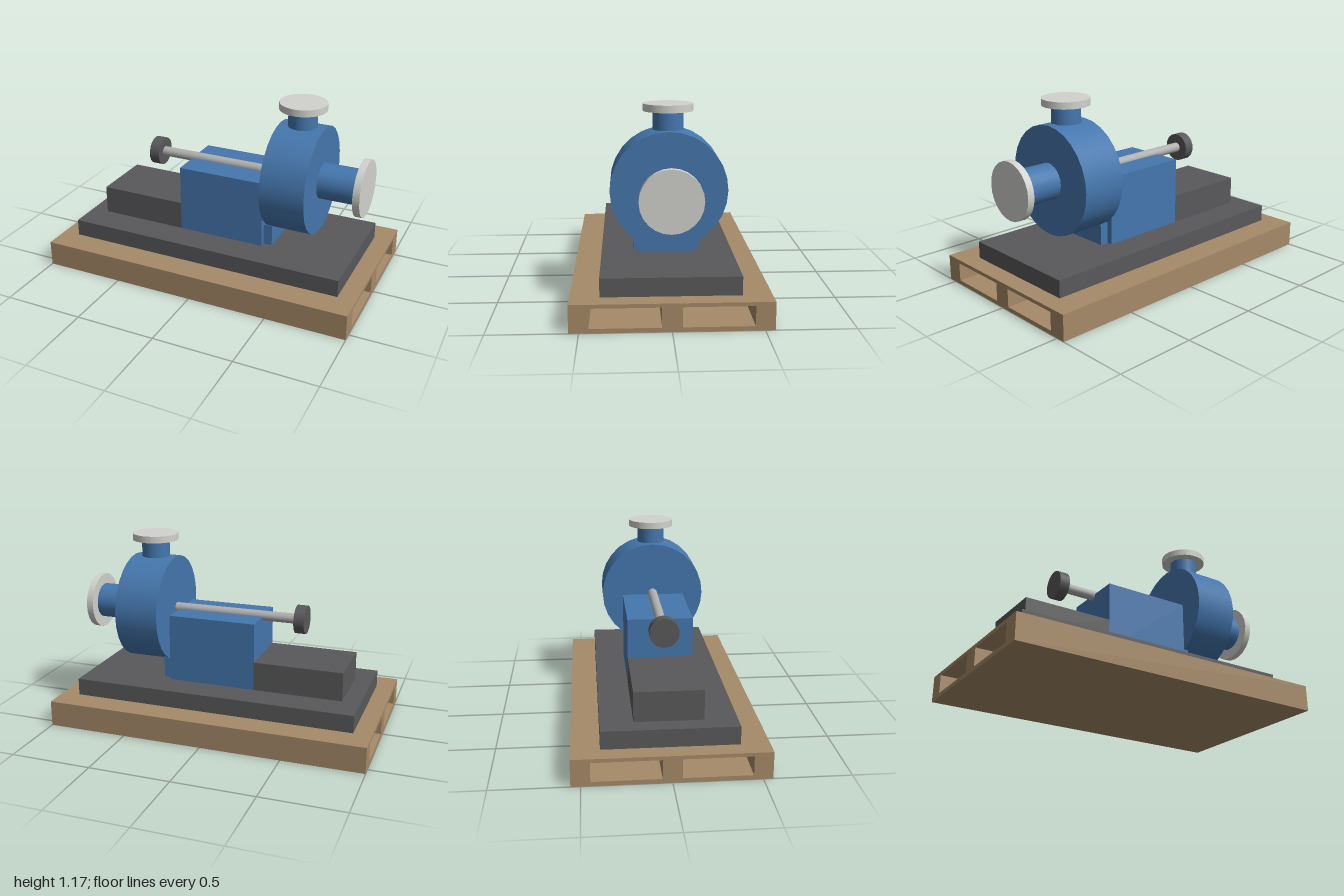
import * as THREE from 'three';

const mat = (name, color) => {
  const m = new THREE.MeshStandardMaterial({ color });
  m.name = name;
  return m;
};

export function createModel() {
  const model = new THREE.Group();
  model.name = 'skidMountedPump';
  const wood = mat('wood', 0xa68a68);
  const dark = mat('darkGrey', 0x59595b);
  const blue = mat('blue', 0x4577ae);
  const pale = mat('paleMetal', 0xd2d2ce);
  const steel = mat('steel', 0xb0b0b0);

  const add = (name, geometry, material) => {
    const mesh = new THREE.Mesh(geometry, material);
    mesh.name = name;
    model.add(mesh);
    return mesh;
  };
  // box given by its x and y ranges and half depth
  const box = (name, x0, x1, y0, y1, hz, material) =>
    add(name, new THREE.BoxGeometry(x1 - x0, y1 - y0, hz * 2), material)
      .position.set((x0 + x1) / 2, (y0 + y1) / 2, 0);
  // cylinder lying along x on the shaft axis
  const axisY = 0.69;
  const lying = (name, x0, x1, r, sides, material) => {
    const g = new THREE.CylinderGeometry(r, r, x1 - x0, sides).rotateZ(-Math.PI / 2);
    add(name, g, material).position.set((x0 + x1) / 2, axisY, 0);
  };
  // upright cylinder above the casing
  const upright = (name, y0, y1, r, sides, material) =>
    add(name, new THREE.CylinderGeometry(r, r, y1 - y0, sides), material)
      .position.set(0.498, (y0 + y1) / 2, 0);

  // pallet with two fork slots running right through
  const section = new THREE.Shape();
  section.moveTo(-0.555, 0).lineTo(0.555, 0).lineTo(0.555, 0.16).lineTo(-0.555, 0.16).closePath();
  for (const s of [-1, 1]) {
    const slot = new THREE.Path();
    slot.moveTo(s * 0.055, 0.025).lineTo(s * 0.055, 0.138)
      .lineTo(s * 0.447, 0.138).lineTo(s * 0.447, 0.025).closePath();
    section.holes.push(slot);
  }
  const pallet = new THREE.ExtrudeGeometry(section, { depth: 2, bevelEnabled: false });
  add('pallet', pallet.translate(0, 0, -1).rotateY(Math.PI / 2), wood);

  // base and housings
  box('basePlate', -0.89, 0.888, 0.16, 0.267, 0.39, dark);
  box('rearPlinth', -0.78, -0.225, 0.267, 0.446, 0.2, dark);
  box('bearingHousing', -0.225, 0.33, 0.267, 0.69, 0.2, blue);
  box('casingFoot', 0.33, 0.385, 0.267, 0.4, 0.165, blue);

  // shaft, coupling and casing
  lying('coupling', -0.503, -0.438, 0.088, 24, dark);
  lying('shaft', -0.438, 0.36, 0.031, 20, steel);
  lying('casing', 0.36, 0.637, 0.333, 28, blue);

  // inlet and outlet
  lying('inletPipe', 0.637, 0.876, 0.11, 24, blue);
  lying('inletFlange', 0.876, 0.919, 0.176, 24, pale);
  upright('outletPipe', 1.02, 1.126, 0.088, 24, blue);
  upright('outletFlange', 1.126, 1.168, 0.144, 24, pale);

  return model;
}
